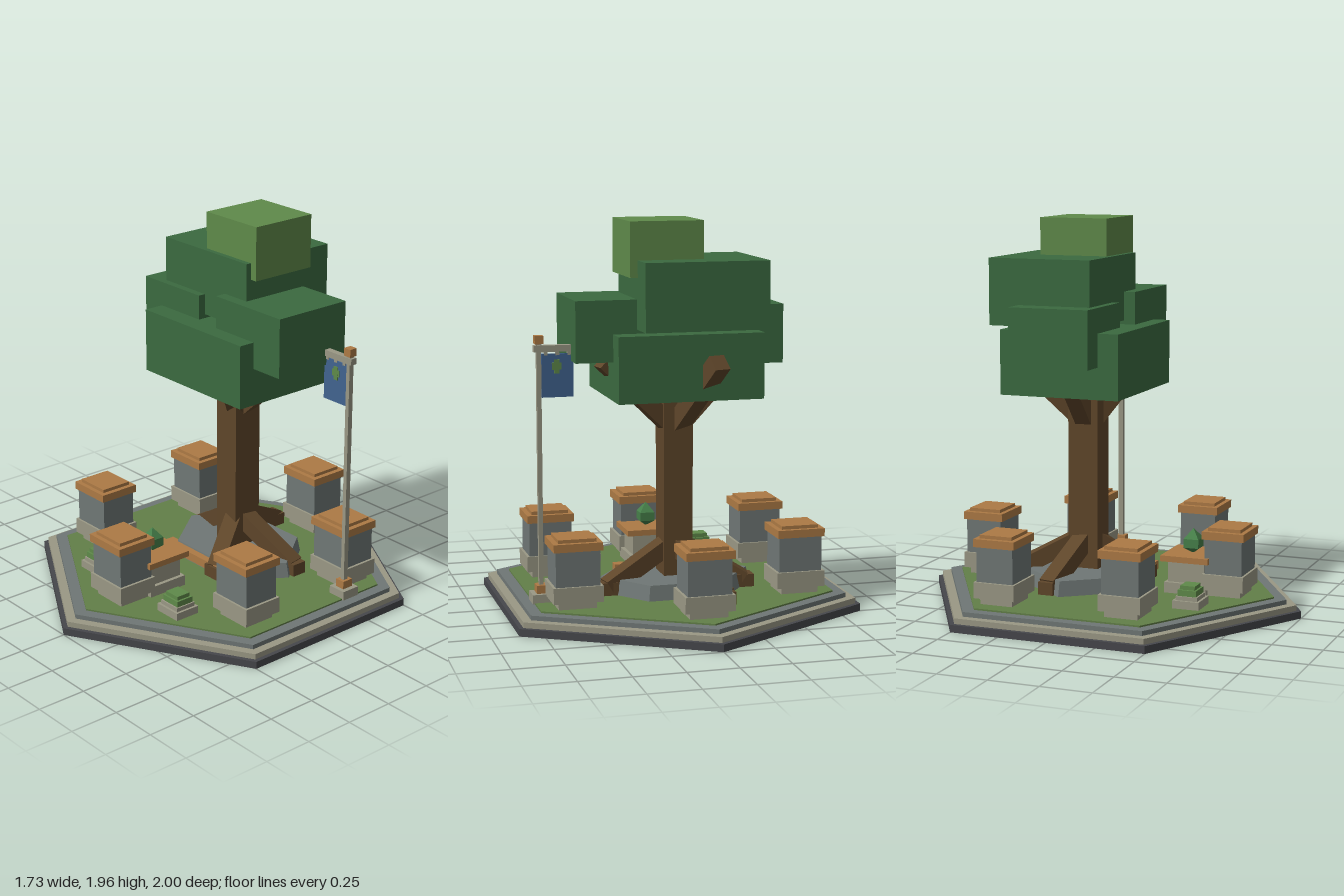
import * as THREE from 'three';

const mat = (name, color) => {
  const m = new THREE.MeshStandardMaterial({ color });
  m.name = name;
  return m;
};

export function createModel() {
  const M = {
    dark: mat('dark stone', 0x46474b),
    stone: mat('grey stone', 0x6f7775),
    pale: mat('pale stone', 0x9a9885),
    grass: mat('grass', 0x627f48),
    copper: mat('copper', 0xad7a45),
    wood: mat('bark', 0x5f462a),
    leaf: mat('dark leaves', 0x3b6a40),
    light: mat('light leaves', 0x5f8a4a),
    crystal: mat('crystal green', 0x47804a),
    blue: mat('banner blue', 0x41638f),
  };
  const model = new THREE.Group();
  model.name = 'treeShrine';

  const add = (parent, name, geo, m, x = 0, y = 0, z = 0) => {
    const mesh = new THREE.Mesh(geo, m);
    mesh.name = name;
    mesh.position.set(x, y, z);
    parent.add(mesh);
    return mesh;
  };
  const group = (name, x = 0, z = 0) => {
    const g = new THREE.Group();
    g.name = name;
    g.position.set(x, 0, z);
    model.add(g);
    return g;
  };
  // Box standing between heights y0 and y1
  const block = (parent, name, m, w, d, y0, y1, x = 0, z = 0) =>
    add(parent, name, new THREE.BoxGeometry(w, y1 - y0, d), m, x, (y0 + y1) / 2, z);
  // Box given by its limits on each axis
  const span = (parent, name, m, [x0, x1], [y0, y1], [z0, z1]) =>
    block(parent, name, m, x1 - x0, z1 - z0, y0, y1, (x0 + x1) / 2, (z0 + z1) / 2);
  // Square beam running from a to b
  const beam = (parent, name, m, a, b, w, h) => {
    const p = new THREE.Vector3(...a), q = new THREE.Vector3(...b);
    const mesh = add(parent, name, new THREE.BoxGeometry(w, h, p.distanceTo(q)), m);
    mesh.position.copy(p).add(q).multiplyScalar(0.5);
    mesh.lookAt(q);
    return mesh;
  };

  // Stepped hexagonal base
  const base = group('base');
  [['foundation', M.dark, 1, 0, 0.037], ['paleStep', M.pale, 0.975, 0.037, 0.065],
    ['greyStep', M.stone, 0.925, 0.065, 0.088], ['lawn', M.grass, 0.86, 0.088, 0.096],
  ].forEach(([name, m, r, y0, y1]) => {
    const geo = new THREE.CylinderGeometry(r, r, y1 - y0, 6).toNonIndexed();
    geo.computeVertexNormals();
    add(base, name, geo, m, 0, (y0 + y1) / 2, 0);
  });

  // Ring of six pillars
  for (let i = 0; i < 6; i++) {
    const a = (i * Math.PI) / 3;
    const p = group('pillar', Math.sin(a) * 0.653, Math.cos(a) * 0.653 - 0.025);
    block(p, 'pillarPlinth', M.pale, 0.19, 0.17, 0.09, 0.135);
    block(p, 'pillarFoot', M.pale, 0.247, 0.215, 0.13, 0.21);
    block(p, 'pillarShaft', M.stone, 0.22, 0.192, 0.21, 0.388);
    block(p, 'pillarCap', M.copper, 0.243, 0.217, 0.385, 0.425);
    block(p, 'pillarTop', M.copper, 0.19, 0.17, 0.425, 0.442);
  }

  // Trunk with roots and branches
  const tree = group('tree');
  const tz = -0.135;
  block(tree, 'trunk', M.wood, 0.148, 0.16, 0.09, 1.2, 0, tz);
  [[0.14, 0.13], [0.36, -0.2], [-0.15, -0.52], [-0.34, -0.21]].forEach(([x, z]) => {
    beam(tree, 'root', M.wood, [0, 0.34, tz], [x, 0.13, z], 0.085, 0.085);
    block(tree, 'rootTip', M.wood, 0.095, 0.08, 0.09, 0.16, x, z);
  });
  [[0.17, 1.25, 0.1], [0.38, 1.27, -0.2], [-0.12, 1.285, -0.52], [-0.33, 1.25, -0.13]]
    .forEach((tip) => beam(tree, 'branch', M.wood, [0, 0.9, tz], tip, 0.085, 0.085));

  // Flat stone bed and front board at the foot of the tree
  const bed = new THREE.CylinderGeometry(0.38, 0.4, 0.08, 6).toNonIndexed();
  bed.computeVertexNormals();
  bed.rotateY(Math.PI / 6);
  add(tree, 'stoneBed', bed, M.stone, 0, 0.132, tz).scale.z = 0.76;
  span(tree, 'frontBoard', M.copper, [-0.25, 0.25], [0.12, 0.165], [0.1, 0.155]);

  // Blocky crown
  const crown = group('crown');
  span(crown, 'lowerLeaves', M.leaf, [-0.366, 0.362], [1.09, 1.415], [-0.455, 0.17]);
  span(crown, 'rightLeaves', M.leaf, [-0.495, -0.07], [1.25, 1.54], [-0.35, 0.065]);
  span(crown, 'leftLeaves', M.leaf, [0.083, 0.547], [1.28, 1.58], [-0.345, 0.085]);
  span(crown, 'upperLeaves', M.leaf, [-0.375, 0.243], [1.435, 1.768], [-0.508, 0.027]);
  span(crown, 'topLeaves', M.light, [-0.087, 0.28], [1.685, 1.955], [-0.358, 0]);

  // Altar with floating crystal
  const altar = group('altar', 0, 0.43);
  block(altar, 'altarFoot', M.pale, 0.23, 0.22, 0.09, 0.15);
  block(altar, 'altarBody', M.pale, 0.19, 0.19, 0.15, 0.26);
  block(altar, 'altarTop', M.copper, 0.26, 0.25, 0.258, 0.288);
  const gemProfile = [[0, 0.285], [0.055, 0.315], [0.055, 0.36], [0, 0.412]]
    .map(([x, y]) => new THREE.Vector2(x, y));
  const gem = new THREE.LatheGeometry(gemProfile, 4).rotateY(Math.PI / 4).toNonIndexed();
  gem.computeVertexNormals();
  add(altar, 'crystal', gem, M.crystal, 0, 0, 0.005);

  // Pair of small planters
  for (const s of [-1, 1]) {
    const p = group('planter', s * 0.315, 0.53);
    block(p, 'planterBase', M.pale, 0.152, 0.135, 0.09, 0.135);
    block(p, 'planterRim', M.pale, 0.125, 0.11, 0.135, 0.155);
    block(p, 'planterHedge', M.light, 0.11, 0.095, 0.155, 0.185);
    block(p, 'planterTop', M.light, 0.088, 0.075, 0.185, 0.205);
  }

  // Banner pole
  const pole = group('bannerPole', 0.705, -0.23);
  block(pole, 'poleBase', M.pale, 0.1, 0.1, 0.09, 0.137);
  block(pole, 'poleSocket', M.copper, 0.052, 0.06, 0.137, 0.178);
  block(pole, 'poleShaft', M.pale, 0.022, 0.026, 0.17, 1.35);
  block(pole, 'crossbar', M.pale, 0.19, 0.034, 1.328, 1.36, -0.07);
  block(pole, 'finialNeck', M.pale, 0.025, 0.025, 1.36, 1.37);
  block(pole, 'finial', M.copper, 0.042, 0.042, 1.368, 1.408);

  // Banner cloth, hanging loops and leaf emblem on both sides
  block(pole, 'bannerCloth', M.blue, 0.157, 0.012, 1.105, 1.318, -0.092);
  for (const x of [-0.15, -0.092, -0.035])
    block(pole, 'bannerLoop', M.pale, 0.018, 0.016, 1.31, 1.33, x);
  for (const z of [-0.008, 0.008]) {
    block(pole, 'emblemStem', M.light, 0.026, 0.005, 1.222, 1.29, -0.088, z);
    block(pole, 'emblemLeaf', M.light, 0.048, 0.0045, 1.24, 1.274, -0.088, z);
  }

  return model;
}
